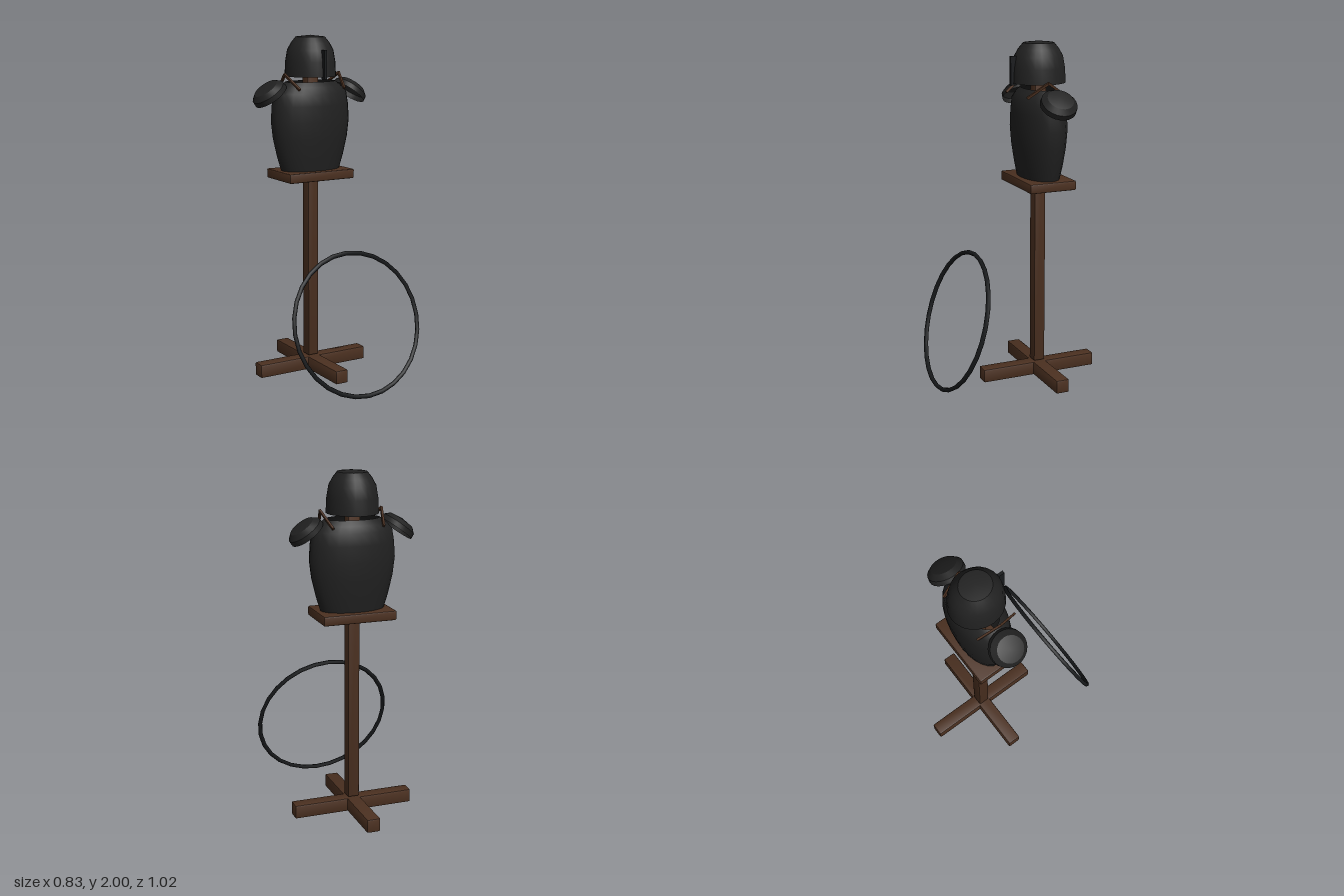
import * as THREE from 'three';
import { toCreasedNormals } from 'three/addons/utils/BufferGeometryUtils.js';
import { RoundedBoxGeometry } from 'three/addons/geometries/RoundedBoxGeometry.js';

export function createModel() {
  const model = new THREE.Group();
  model.name = 'armourStand';

  const wood = new THREE.MeshStandardMaterial({ name: 'brownWood', color: 0x4b3020 });
  const armour = new THREE.MeshStandardMaterial({ name: 'darkArmour', color: 0x212121, side: THREE.DoubleSide });
  const iron = new THREE.MeshStandardMaterial({ name: 'blackIron', color: 0x17191b });

  const axisZ = -0.15; // the stand sits behind the hoop

  const add = (name, geometry, material, x, y, z) => {
    const mesh = new THREE.Mesh(geometry, material);
    mesh.name = name;
    mesh.position.set(x, y, z);
    model.add(mesh);
    return mesh;
  };
  const beam = (name, w, h, d, y) =>
    add(name, toCreasedNormals(new RoundedBoxGeometry(w, h, d, 1, 0.008), 0.5), wood, 0, y, axisZ);

  // Open shell turned from a profile, then stretched along x and z
  const shell = (profile, sx, sz) => {
    const g = new THREE.LatheGeometry(profile.map(([r, y]) => new THREE.Vector2(r, y)), 24);
    g.scale(sx, 1, sz);
    return toCreasedNormals(g, 0.55);
  };

  // Wooden stand
  beam('baseBeamAcross', 0.72, 0.08, 0.08, 0.045);
  beam('baseBeamLong', 0.08, 0.08, 0.72, 0.045);
  beam('post', 0.07, 1.77, 0.07, 0.975);
  beam('seatPlate', 0.43, 0.055, 0.285, 1.195);

  // Breastplate with an open neck
  add('breastplate', shell([
    [0.187, 1.22], [0.212, 1.3], [0.238, 1.41], [0.25, 1.51],
    [0.244, 1.6], [0.232, 1.67], [0.2, 1.705], [0.16, 1.735],
  ], 1, 0.57), armour, 0, 0, axisZ);

  // Helmet, open underneath
  add('helmet', shell([
    [0.146, 1.765], [0.142, 1.85], [0.131, 1.915], [0.11, 1.955], [0.083, 1.99], [0, 2],
  ], 1, 1.08), armour, 0, 0, axisZ);
  add('noseGuard', new THREE.BoxGeometry(0.016, 0.165, 0.035), iron, 0, 1.837, 0.007);

  // Straight rod between two points
  const rod = (name, a, b) => {
    const mid = a.clone().add(b).multiplyScalar(0.5);
    const dir = b.clone().sub(a);
    const mesh = add(name, new THREE.BoxGeometry(0.012, dir.length() + 0.008, 0.014), wood, mid.x, mid.y, mid.z);
    mesh.quaternion.setFromUnitVectors(new THREE.Vector3(0, 1, 0), dir.normalize());
  };

  for (const [side, s] of [['left', 1], ['right', -1]]) {
    // Shoulder guard tilted outward
    const guard = add(side + 'ShoulderGuard', shell([
      [0.105, 0], [0.103, 0.03], [0.075, 0.056], [0, 0.068],
    ], 1, 1), armour, s * 0.26, 1.66, axisZ);
    guard.rotation.z = -s * 0.64;

    // Bent strap over the shoulder
    const peak = new THREE.Vector3(s * 0.18, 1.78, -0.13);
    rod(side + 'FrontStrap', new THREE.Vector3(s * 0.148, 1.7, -0.017), peak);
    rod(side + 'BackStrap', new THREE.Vector3(s * 0.148, 1.7, -0.25), peak);
  }

  // Leaning hoop
  const hoop = add('hoop', new THREE.TorusGeometry(0.404, 0.013, 6, 28), iron, 0, 0.407, 0.371);
  hoop.rotation.x = -0.31;

  return model;
}
